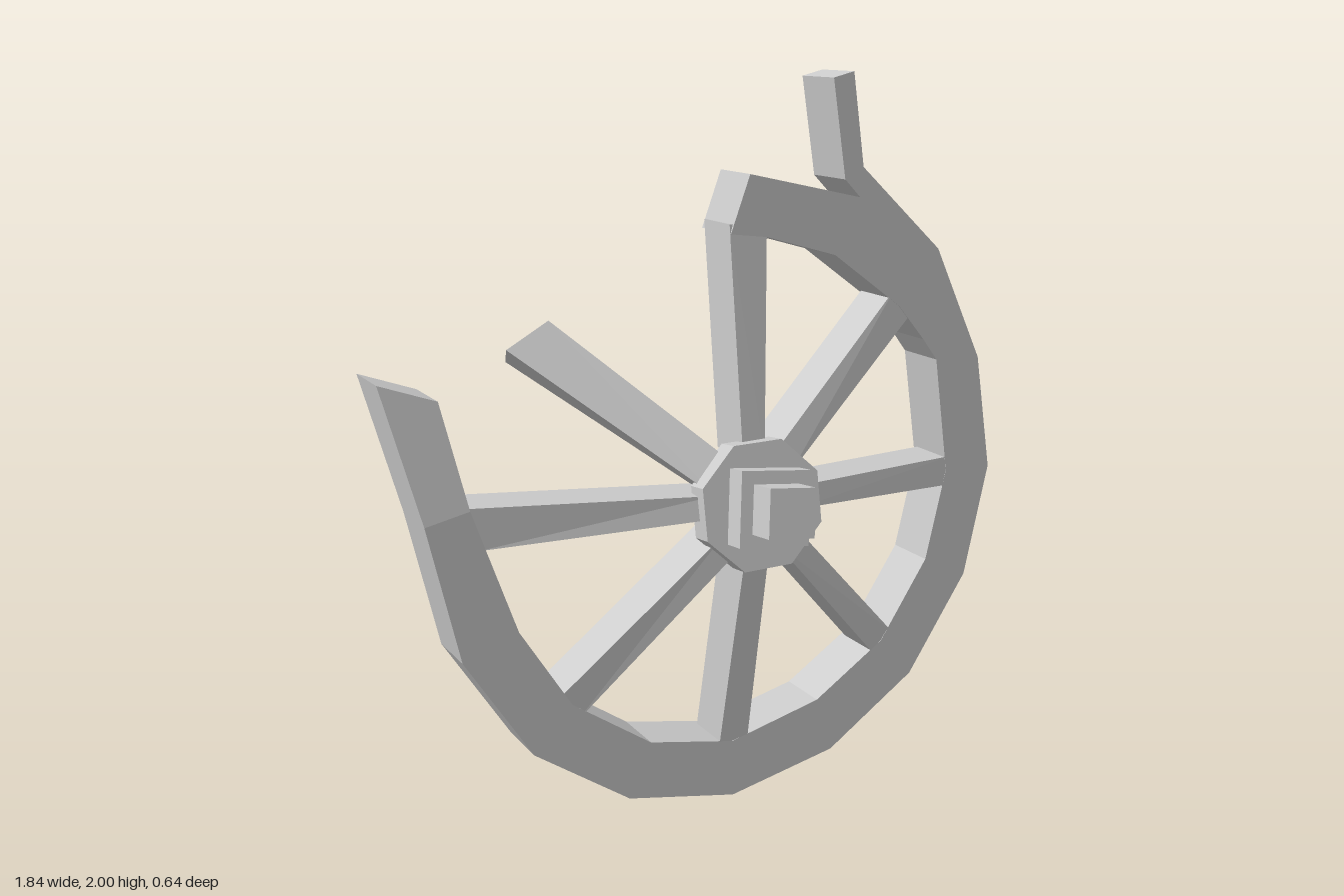
import * as THREE from 'three';

const grey = new THREE.MeshStandardMaterial({ color: 0xcccccc, flatShading: true, side: THREE.DoubleSide });

// Solid through a row of four-cornered sections, capped at both ends
function loft(name, sections) {
  const tris = [];
  const quad = (a, b, c, d) => tris.push([a, b, c], [a, c, d]);
  for (let i = 0; i < sections.length - 1; i++) {
    const s = sections[i], t = sections[i + 1];
    for (let k = 0; k < 4; k++) {
      const n = (k + 1) % 4;
      quad(s[k], s[n], t[n], t[k]);
    }
  }
  const last = sections[sections.length - 1];
  quad(...[...sections[0]].reverse());
  quad(...last);
  // turn the faces outwards whichever way the sections run
  const volume = tris.reduce((sum, [a, b, c]) => sum + a.dot(b.clone().cross(c)), 0);
  const points = tris.flatMap(t => (volume < 0 ? [t[0], t[2], t[1]] : t));
  const geometry = new THREE.BufferGeometry().setFromPoints(points);
  geometry.computeVertexNormals();
  const mesh = new THREE.Mesh(geometry, grey);
  mesh.name = name;
  return mesh;
}

const V = (x, y, z) => new THREE.Vector3(x, y, z);

// The wheel leans back slightly; its broken left end bends back further
const rimFront = (x, y) => 0.012 - 0.018 * y - (x < -0.7 ? 0.2 * Math.max(0, y - 0.96) : 0);
const rimSection = ([ox, oy, ix, iy]) => {
  const zo = rimFront(ox, oy), zi = rimFront(ix, iy), d = 0.147;
  return [V(ox, oy, zo), V(ix, iy, zi), V(ix, iy, zi - d), V(ox, oy, zo - d)];
};

// Spoke from two front corners at the hub to two at the rim
function spoke(name, [ax, ay, bx, by], [px, py, qx, qy], end) {
  const c = V(0.03, 0.9, 0);
  const hubPoint = (x, y, back) => {
    const p = V(x, y, 0).lerp(c, 0.25);
    p.z = (back ? -0.04 : 0.09) - 0.15 * (y - 0.9);
    return p;
  };
  const rimPoint = (x, y, back) => {
    const dx = x - c.x, dy = y - c.y, k = 1 + 0.025 / Math.hypot(dx, dy);
    return V(c.x + dx * k, c.y + dy * k, rimFront(x, y) - (back ? 0.135 : 0.006));
  };
  return loft(name, [
    [hubPoint(ax, ay), hubPoint(bx, by), hubPoint(bx, by, true), hubPoint(ax, ay, true)],
    end || [rimPoint(px, py), rimPoint(qx, qy), rimPoint(qx, qy, true), rimPoint(px, py, true)],
  ]);
}

export function createModel() {
  const model = new THREE.Group();
  model.name = 'brokenWheel';

  // Rim: outer x, y and inner x, y from the left break round to the top break
  model.add(loft('rim', [
    [-0.92, 1.305, -0.775, 1.25], [-0.85, 0.96, -0.73, 0.98], [-0.775, 0.59, -0.62, 0.64],
    [-0.595, 0.29, -0.48, 0.405], [-0.32, 0.085, -0.25, 0.235], [0.01, 0.002, 0.01, 0.17],
    [0.35, 0.055, 0.30, 0.225], [0.64, 0.23, 0.53, 0.36], [0.84, 0.51, 0.69, 0.585],
    [0.92, 0.84, 0.758, 0.85], [0.865, 1.18, 0.71, 1.19], [0.79, 1.26, 0.66, 1.255],
    [0.64, 1.46, 0.57, 1.36], [0.43, 1.67, 0.35, 1.52], [0.08, 1.75, 0.13, 1.585],
    [0.02, 1.60, 0.13, 1.585],
  ].map(rimSection)));

  // Outer layer of the rim, split away and sticking up
  model.add(loft('rimSplinter', [
    [0.865, 1.18, 0.79, 1.26], [0.705, 1.51, 0.64, 1.46],
    [0.44, 1.75, 0.38, 1.72], [0.405, 2.0, 0.34, 1.985],
  ].map(rimSection)));

  // Spokes
  const spokes = {
    spokeRight: [[-0.13, 0.95, -0.13, 0.87], [-0.73, 0.985, -0.69, 0.875]],
    spokeLowerRight: [[-0.11, 0.81, -0.05, 0.75], [-0.51, 0.435, -0.45, 0.37]],
    spokeBottom: [[-0.03, 0.73, 0.07, 0.73], [-0.03, 0.17, 0.06, 0.17]],
    spokeLowerLeft: [[0.10, 0.745, 0.17, 0.81], [0.50, 0.33, 0.56, 0.39]],
    spokeLeft: [[0.19, 0.85, 0.20, 0.93], [0.76, 0.805, 0.76, 0.89]],
    spokeUpperLeft: [[0.19, 0.98, 0.12, 1.05], [0.60, 1.32, 0.54, 1.39]],
    spokeTop: [[0.09, 1.06, 0.0, 1.06], [0.13, 1.585, 0.02, 1.60]],
  };
  for (const [name, [hubEnd, rimEnd]] of Object.entries(spokes)) model.add(spoke(name, hubEnd, rimEnd));

  // Snapped spoke, bent backwards
  model.add(spoke('brokenSpoke', [-0.13, 0.95, -0.04, 1.05], [0, 0, 0, 0], [
    V(-0.53, 1.32, -0.22), V(-0.40, 1.38, -0.24), V(-0.37, 1.33, -0.32), V(-0.50, 1.27, -0.30),
  ]));

  // Hub: eight-sided plate, square block and axle stub, tilted together
  const hub = new THREE.Group();
  hub.name = 'hub';
  hub.position.set(0.03, 0.9, 0.1);
  hub.rotation.set(-0.17, -0.1, 0);
  const plate = new THREE.Mesh(
    new THREE.CylinderGeometry(0.182, 0.182, 0.075, 8).rotateY(Math.PI / 8).rotateX(Math.PI / 2), grey);
  plate.name = 'hubPlate';
  hub.add(plate);
  for (const [name, size, z0, z1] of [['hubBlock', 0.2, -0.14, 0.11], ['axleStub', 0.13, 0.1, 0.205]]) {
    const box = new THREE.Mesh(new THREE.BoxGeometry(size, size, z1 - z0), grey);
    box.name = name;
    box.position.z = (z0 + z1) / 2;
    box.rotation.z = -0.13;
    hub.add(box);
  }
  model.add(hub);
  return model;
}
